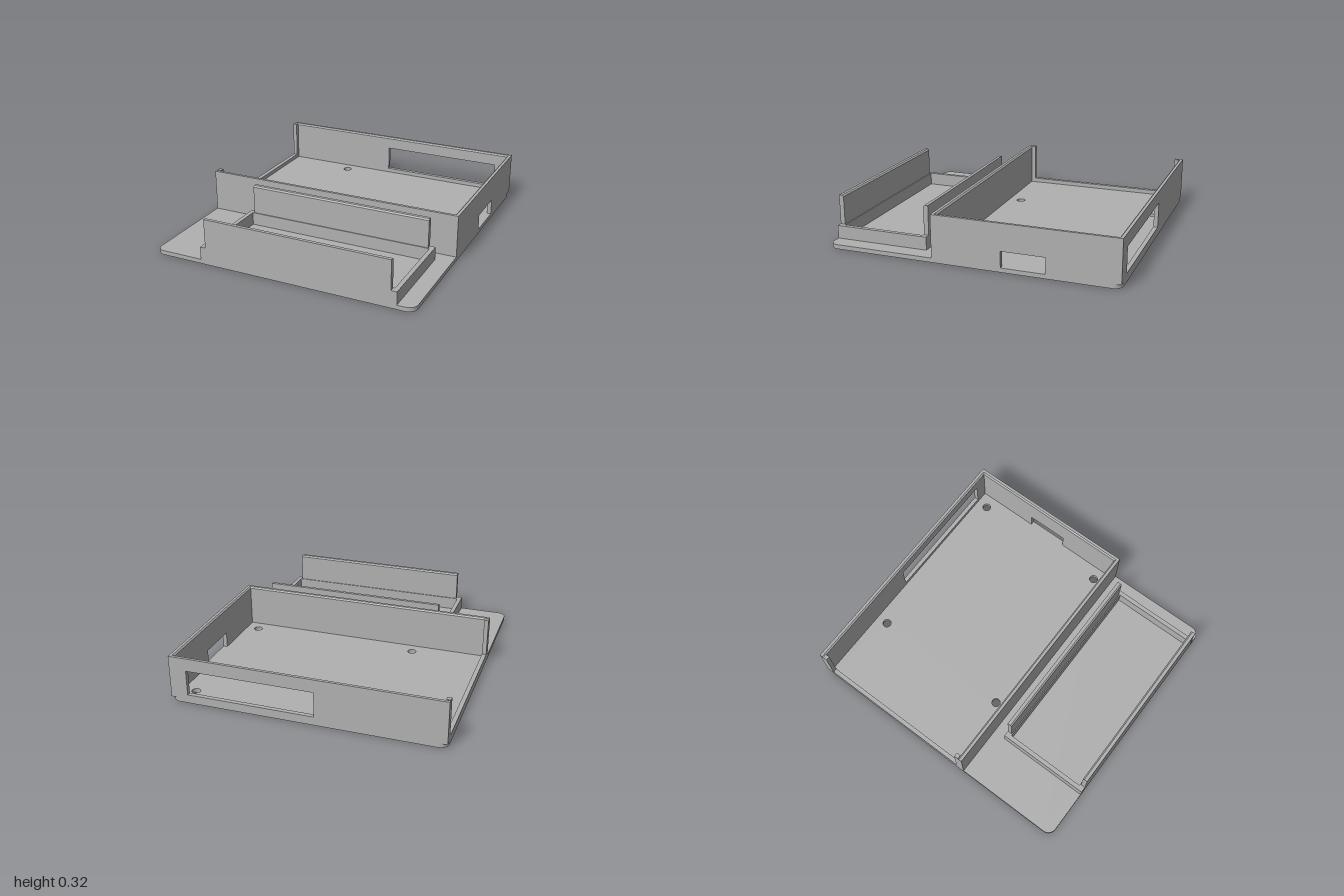
import * as THREE from 'three';

const W = 0.93, T = 0.03, TOP = 0.325, FLOOR = 0.03, BEVEL = 0.01;

export function createModel() {
  const model = new THREE.Group();
  model.name = 'openCaseWithTray';
  const grey = new THREE.MeshStandardMaterial({ color: 0xb0b0b0 });
  grey.name = 'plainGrey';

  const add = (name, geometry, parent = model) => {
    const mesh = new THREE.Mesh(geometry, grey);
    mesh.name = name;
    parent.add(mesh);
    return mesh;
  };
  // Box given by its limits
  const box = (name, x0, x1, y0, y1, z0, z1, parent) =>
    add(name, new THREE.BoxGeometry(x1 - x0, y1 - y0, z1 - z0), parent)
      .position.set((x0 + x1) / 2, (y0 + y1) / 2, (z0 + z1) / 2);
  const polygon = (points) => new THREE.Shape(points.map(([x, y]) => new THREE.Vector2(x, y)));
  const extrude = (shape, depth) =>
    new THREE.ExtrudeGeometry(shape, { depth, bevelEnabled: false, curveSegments: 16 });
  // (z, y) outline extruded along x
  const alongX = (name, points, x0, x1, parent) => {
    const shape = polygon(points.map(([z, y]) => [-z, y]));
    const mesh = add(name, extrude(shape, x1 - x0).rotateY(Math.PI / 2), parent);
    mesh.position.x = x0;
    return mesh;
  };

  // Base plate with rounded corners and four screw holes
  const r = 0.06;
  const plate = new THREE.Shape();
  plate.moveTo(-W + r, -1);
  plate.lineTo(W - r, -1);
  plate.absarc(W - r, -1 + r, r, -Math.PI / 2, 0);
  plate.absarc(W - r, 1 - r, r, 0, Math.PI / 2);
  plate.absarc(-W + r, 1 - r, r, Math.PI / 2, Math.PI);
  plate.absarc(-W + r, -1 + r, r, Math.PI, Math.PI * 1.5);
  for (const x of [-0.4, 0.81]) for (const z of [-0.885, 0.13]) {
    const hole = new THREE.Path();
    hole.absarc(x, -z, 0.03, 0, Math.PI * 2, true);
    plate.holes.push(hole);
  }
  add('basePlate', extrude(plate, FLOOR).rotateX(-Math.PI / 2));

  // Case: three walls, open on the -x side
  const caseWalls = new THREE.Group();
  caseWalls.name = 'caseWalls';
  model.add(caseWalls);
  const z0 = -1, z1 = 0.25, rimY = TOP - BEVEL;

  // Back wall with a wide window
  const back = polygon([[-W, FLOOR], [W, FLOOR], [W, rimY], [-W, rimY]]);
  back.holes.push(polygon([[-0.07, 0.06], [-0.07, 0.235], [0.81, 0.235], [0.81, 0.06]]));
  add('backWall', extrude(back, T), caseWalls).position.z = z0;
  alongX('backRim', [[z0, rimY], [z0 + T, rimY], [z0 + T - BEVEL, TOP], [z0, TOP]], -W, W, caseWalls);

  // Front wall of the case
  alongX('dividingWall',
    [[z1, FLOOR], [z1, TOP], [z1 - T + BEVEL, TOP], [z1 - T, rimY], [z1 - T, FLOOR]], -W, W, caseWalls);

  // Side wall with a port opening down to the floor
  alongX('sideWall', [
    [z0 + T, FLOOR], [-0.52, FLOOR], [-0.52, 0.14], [-0.225, 0.14], [-0.225, FLOOR],
    [z1 - T, FLOOR], [z1 - T, rimY], [z0 + T, rimY],
  ].reverse(), W - T, W, caseWalls);
  const sideRim = polygon([[W - T, rimY], [W, rimY], [W, TOP], [W - T + BEVEL, TOP]]);
  add('sideRim', extrude(sideRim, z1 - z0 - T), caseWalls).position.z = z0 + T / 2;

  // Corner returns and low sill at the open side
  box('backReturn', -W, -W + T, FLOOR, TOP, z0 + T, -0.94, caseWalls);
  box('frontReturn', -W, -W + T, FLOOR, TOP, 0.19, z1 - T, caseWalls);
  box('openSideSill', -W, -W + T, FLOOR, 0.06, -0.94, 0.19, caseWalls);

  // Front tray: low frame with two tall walls
  const tray = new THREE.Group();
  tray.name = 'frontTray';
  model.add(tray);
  const tx0 = -0.575, tx1 = 0.815, tz0 = 0.34, tz1 = 1, low = 0.12;
  box('traySideLeft', tx1 - T, tx1, FLOOR, low, tz0, tz1, tray);
  box('traySideRight', tx0, tx0 + T, FLOOR, low, tz0, tz1, tray);
  for (const [name, z, s] of [['trayBack', tz0, 1], ['trayFront', tz1, -1]]) {
    box(name + 'LowWall', tx0 + T, tx1 - T, FLOOR, low,
      Math.min(z, z + s * 0.04), Math.max(z, z + s * 0.04), tray);
    const t = 0.033;
    alongX(name + 'TallWall',
      [[z, low], [z + s * t, low], [z + s * t, rimY], [z + s * (t - BEVEL), TOP], [z, TOP]],
      -0.535, 0.775, tray);
  }
  return model;
}
